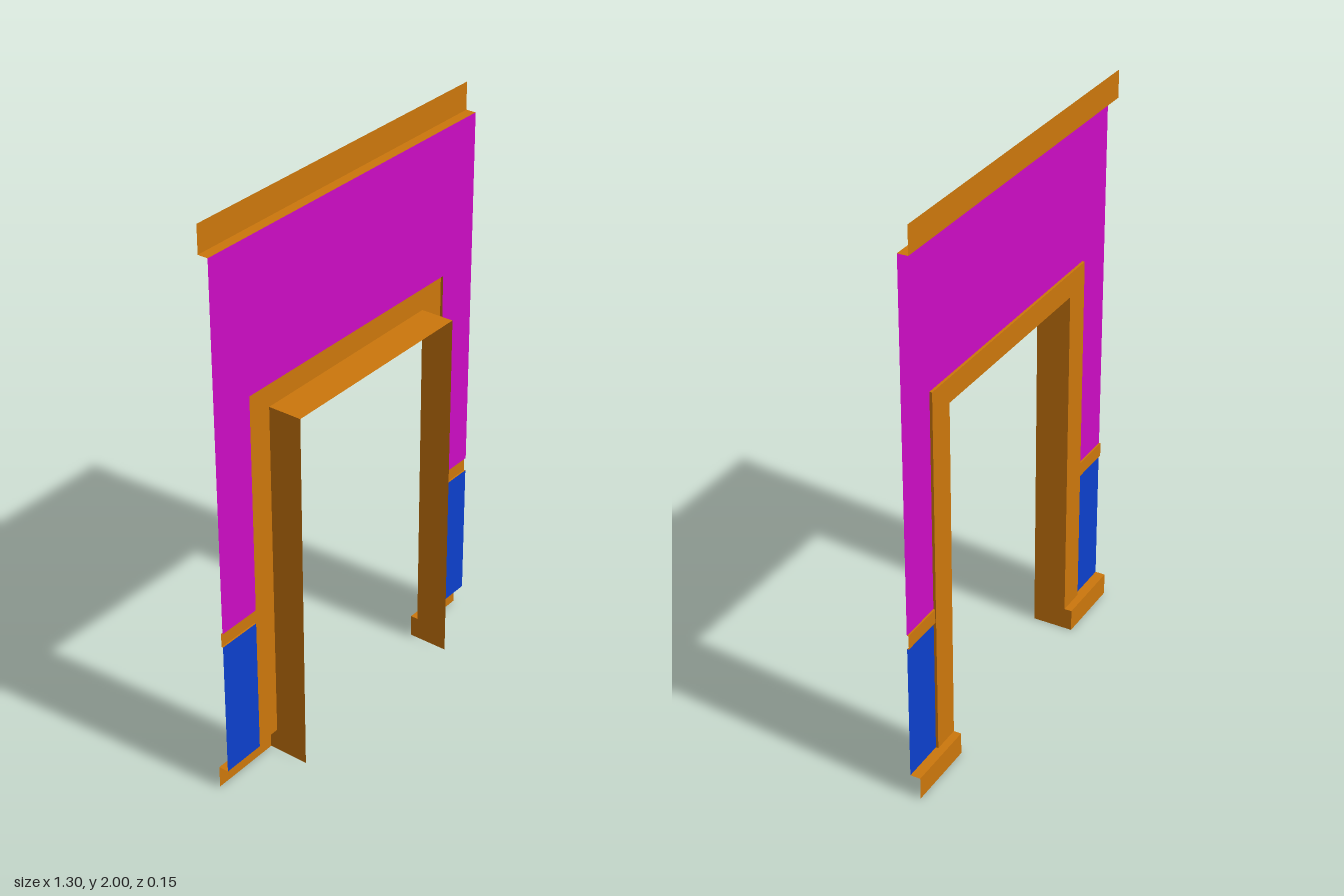
import * as THREE from 'three';

// Depths of the layers; the room side faces -z
const FRONT = 0.073, WALL = -0.037, RAIL = -0.043, FRAME = -0.046, BACK = -0.073;
// Widths and heights
const OUT = 0.65, TRIM = 0.49, DOOR = 0.39;
const TOP = 2, CROWN = 1.905, HEAD = 1.39, LINTEL = 1.305, RAIL_TOP = 0.62, RAIL_LOW = 0.57, BASE = 0.08;

const paint = (color) => new THREE.MeshStandardMaterial({ color, side: THREE.DoubleSide });

export function createModel() {
  const group = new THREE.Group();
  const wood = paint(0xcc770c), wallpaper = paint(0xcc0cc4), panel = paint(0x0c40cc);

  function add(name, geometry, material) {
    const mesh = new THREE.Mesh(geometry, material);
    mesh.name = name;
    group.add(mesh);
    return mesh;
  }
  // Upright sheet facing the room
  function sheet(name, x0, x1, y0, y1, z, material) {
    add(name, new THREE.PlaneGeometry(Math.abs(x1 - x0), y1 - y0).rotateY(Math.PI)
      .translate((x0 + x1) / 2, (y0 + y1) / 2, z), material);
  }
  // Level sheet
  function ledge(name, x0, x1, y, z0, z1) {
    add(name, new THREE.PlaneGeometry(Math.abs(x1 - x0), Math.abs(z1 - z0)).rotateX(-Math.PI / 2)
      .translate((x0 + x1) / 2, y, (z0 + z1) / 2), wood);
  }
  // Upright sheet across the depth
  function cheek(name, x, y0, y1, z0, z1) {
    add(name, new THREE.PlaneGeometry(Math.abs(z1 - z0), y1 - y0).rotateY(Math.PI / 2)
      .translate(x, (y0 + y1) / 2, (z0 + z1) / 2), wood);
  }
  // Arch-shaped sheet around an opening
  function arch(name, w, top, innerW, innerTop, bottom, z, material) {
    const points = [[-w, bottom], [-w, top], [w, top], [w, bottom],
      [innerW, bottom], [innerW, innerTop], [-innerW, innerTop], [-innerW, bottom]];
    const shape = new THREE.Shape(points.map(([x, y]) => new THREE.Vector2(x, y)));
    add(name, new THREE.ShapeGeometry(shape).rotateY(Math.PI).translate(0, 0, z), material);
  }

  // Upper wall, crown moulding and door frame
  arch('upperWall', OUT, CROWN, TRIM, HEAD, RAIL_TOP, WALL, wallpaper);
  sheet('crownFace', -OUT, OUT, CROWN, TOP, BACK, wood);
  ledge('crownUnderside', -OUT, OUT, CROWN, WALL, BACK);
  arch('doorFrame', TRIM, HEAD, DOOR, LINTEL, BASE, FRAME, wood);
  ledge('frameTopEdge', -TRIM, TRIM, HEAD, WALL, FRAME);
  ledge('doorHead', -DOOR, DOOR, LINTEL, FRONT, FRAME);

  for (const [side, s] of [['left', 1], ['right', -1]]) {
    // Door lining and the outer edge of the frame
    cheek(side + 'Jamb', s * DOOR, 0, LINTEL, FRONT, FRAME);
    cheek(side + 'FrameEdgeUpper', s * TRIM, RAIL_TOP, HEAD, WALL, FRAME);
    cheek(side + 'FrameEdgeRail', s * TRIM, RAIL_LOW, RAIL_TOP, RAIL, FRAME);
    cheek(side + 'FrameEdgeLower', s * TRIM, BASE, RAIL_LOW, WALL, FRAME);
    // Lower wall panel and chair rail
    sheet(side + 'LowerPanel', s * TRIM, s * OUT, BASE, RAIL_LOW, WALL, panel);
    sheet(side + 'ChairRail', s * TRIM, s * OUT, RAIL_LOW, RAIL_TOP, RAIL, wood);
    for (const y of [RAIL_LOW, RAIL_TOP]) ledge(side + 'ChairRailEdge', s * TRIM, s * OUT, y, WALL, RAIL);
    // Baseboard with its top and end
    sheet(side + 'Baseboard', s * DOOR, s * OUT, 0, BASE, BACK, wood);
    ledge(side + 'BaseboardTop', s * TRIM, s * OUT, BASE, WALL, BACK);
    ledge(side + 'BaseboardTopAtFrame', s * DOOR, s * TRIM, BASE, FRAME, BACK);
    cheek(side + 'BaseboardEnd', s * DOOR, 0, BASE, FRAME, BACK);
  }
  return group;
}
